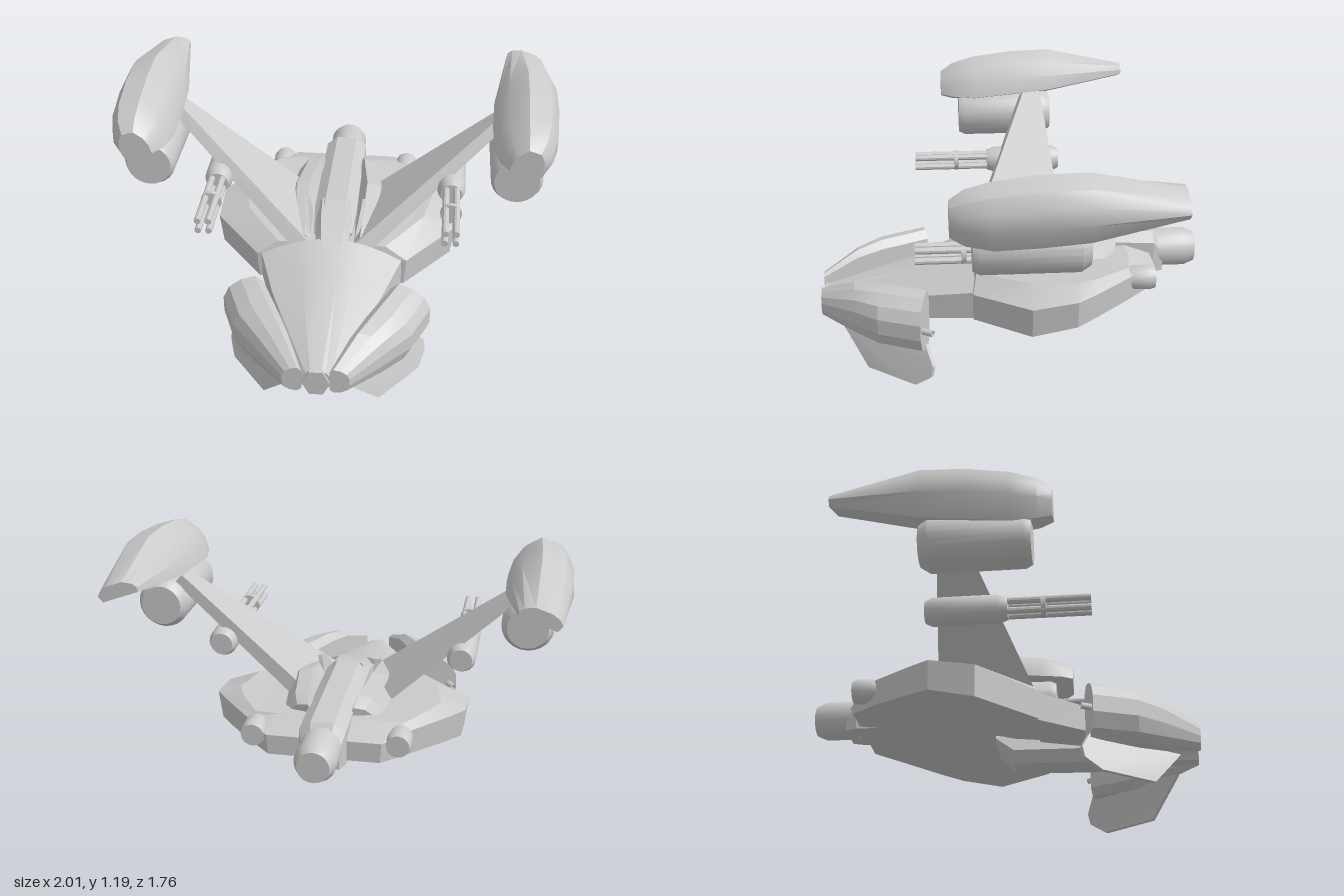
import * as THREE from 'three';
import { toCreasedNormals } from 'three/addons/utils/BufferGeometryUtils.js';

const material = new THREE.MeshStandardMaterial({ color: 0xcccccc, side: THREE.DoubleSide });

// Skin a row of equal-length rings of [x, y, z], cap both ends and face outwards
function loft(rings, crease = 0.3) {
  const n = rings[0].length, tris = [];
  for (let r = 0; r < rings.length - 1; r++)
    for (let i = 0; i < n; i++) {
      const j = (i + 1) % n, a = rings[r], b = rings[r + 1];
      tris.push([a[i], a[j], b[j]], [a[i], b[j], b[i]]);
    }
  const first = rings[0], last = rings[rings.length - 1];
  for (let i = 1; i < n - 1; i++) tris.push([first[0], first[i + 1], first[i]], [last[0], last[i], last[i + 1]]);
  let volume = 0;
  const V = (p) => new THREE.Vector3(...p);
  for (const [a, b, c] of tris) volume += V(a).dot(V(b).cross(V(c)));
  if (volume < 0) tris.forEach((t) => t.reverse());
  const g = new THREE.BufferGeometry();
  g.setAttribute('position', new THREE.Float32BufferAttribute(tris.flat(2), 3));
  return toCreasedNormals(g, crease);
}

// Full symmetric ring from its right half, listed top to bottom as [x, y]
const sym = (half, z) => [
  ...half.map(([x, y]) => [x, y, z]),
  ...half.slice().reverse().map(([x, y]) => [-x, y, z]),
];
const flip = (rings, s) => rings.map((r) => r.map(([x, y, z]) => [x * s, y, z]));

export function createModel() {
  const root = new THREE.Group();
  const add = (name, geometry, parent = root) => {
    const m = new THREE.Mesh(geometry, material);
    m.name = name;
    parent.add(m);
    return m;
  };
  // Round body along z from [radius, z] points
  const round = (name, x, y, pts, parent, sides = 20) => {
    const p = [[0, pts[0][1]], ...pts, [0, pts[pts.length - 1][1]]].map(([r, z]) => new THREE.Vector2(r, z));
    const g = new THREE.LatheGeometry(p, sides);
    g.rotateX(Math.PI / 2);
    g.translate(x, y, 0);
    return add(name, toCreasedNormals(g, 0.6), parent);
  };

  // Saucer hull: bottom edge, top edge and raised deck; rows are x, z, bottom y, top y
  const plan = [[0.35, 0.18, 0.28, 0.41], [0.57, -0.07, 0.3, 0.44], [0.57, -0.27, 0.34, 0.47],
    [0.505, -0.36, 0.35, 0.475], [0.37, -0.53, 0.37, 0.485], [0.25, -0.66, 0.38, 0.47]];
  const deck = [[0.25, 0.16, 0.47], [0.42, -0.07, 0.495], [0.46, -0.27, 0.505],
    [0.43, -0.36, 0.51], [0.33, -0.52, 0.51], [0.22, -0.54, 0.515]];
  const mirror = (h) => [...h, ...h.slice().reverse().map(([x, y, z]) => [-x, y, z])];
  add('saucerHull', loft([
    mirror(plan.map(([x, z, b]) => [x * 0.97, b, z])),
    mirror(plan.map(([x, z, , t]) => [x, t, z])),
    mirror(deck.map(([x, z, y]) => [x, y, z])),
  ]));

  // Tapering nose with a keel beneath
  add('nose', loft([
    sym([[0.05, 0.5], [0.15, 0.48], [0.33, 0.41], [0.33, 0.28], [0.12, 0.27]], 0.17),
    sym([[0.045, 0.42], [0.11, 0.41], [0.25, 0.36], [0.25, 0.245], [0.1, 0.235]], 0.4),
    sym([[0.025, 0.3], [0.045, 0.29], [0.065, 0.27], [0.065, 0.23], [0.04, 0.2]], 0.86),
  ]));
  add('keel', loft([
    sym([[0.09, 0.32], [0.11, 0.29], [0.09, 0.27]], -0.03),
    sym([[0.09, 0.32], [0.11, 0.23], [0.07, 0.18]], 0.05),
    sym([[0.07, 0.32], [0.1, 0.23], [0.06, 0.18]], 0.4),
    sym([[0.03, 0.3], [0.06, 0.24], [0.03, 0.18]], 0.87),
  ]));

  // Spine, canopy and tail engine
  add('spine', loft([
    sym([[0.045, 0.5], [0.08, 0.46], [0.08, 0.37]], -0.73),
    sym([[0.05, 0.56], [0.1, 0.52], [0.1, 0.37]], -0.68),
    sym([[0.05, 0.565], [0.1, 0.53], [0.1, 0.37]], -0.5),
    sym([[0.05, 0.575], [0.1, 0.53], [0.1, 0.36]], -0.05),
    sym([[0.05, 0.52], [0.09, 0.49], [0.09, 0.35]], 0.1),
  ]));
  add('canopy', loft([
    sym([[0.065, 0.572], [0.085, 0.54], [0.09, 0.46]], -0.07),
    sym([[0.06, 0.55], [0.085, 0.51], [0.085, 0.44]], 0.06),
    sym([[0.045, 0.49], [0.07, 0.46], [0.075, 0.42]], 0.2),
    sym([[0.025, 0.43], [0.04, 0.42], [0.045, 0.39]], 0.3),
  ]));
  round('tailEngine', 0, 0.455, [[0.07, -0.885], [0.09, -0.84], [0.09, -0.68]]);

  for (const s of [1, -1]) {
    const side = new THREE.Group();
    side.name = s > 0 ? 'leftSide' : 'rightSide';
    root.add(side);
    const part = (name, rings, crease) => add(name, loft(flip(rings, s), crease), side);

    // Shoulder fairing and upright fin beside the canopy
    part('shoulderFairing', [
      [[0.08, 0.5, -0.5], [0.1, 0.55, -0.5], [0.15, 0.54, -0.49], [0.19, 0.5, -0.47]],
      [[0.08, 0.5, -0.43], [0.11, 0.58, -0.43], [0.17, 0.57, -0.43], [0.22, 0.5, -0.43]],
      [[0.08, 0.48, -0.2], [0.14, 0.59, -0.2], [0.2, 0.58, -0.2], [0.25, 0.49, -0.2]],
      [[0.08, 0.45, 0.14], [0.13, 0.5, 0.14], [0.18, 0.49, 0.14], [0.23, 0.45, 0.14]],
    ]);
    const fin = [[0.43, 0.16], [0.59, 0.0], [0.59, -0.05], [0.45, -0.08]];
    part('canopyFin', [0, 0.018].map((t) => fin.map(([y, z]) => [0.095 + t + (y - 0.43) * 0.2, y, z])));

    // Raised wing
    const wing = (x, y, front, back, t) => [[x - 0.66 * t, y + 0.75 * t, front - 0.02], [x + 0.66 * t, y - 0.75 * t, front],
      [x + 0.66 * t, y - 0.75 * t, back], [x - 0.66 * t, y + 0.75 * t, back]];
    part('wing', [wing(0.12, 0.44, 0.19, -0.285, 0.035), wing(0.75, 0.99, -0.11, -0.215, 0.024)]);

    // Wing-tip nacelle: canted loaf section scaled along z [z, width, height, lift]
    const loaf = [[-0.125, 0], [-0.13, 0.08], [-0.11, 0.16], [-0.05, 0.24], [0.055, 0.245],
      [0.11, 0.195], [0.138, 0.12], [0.122, 0]];
    const stations = [[0.29, 0.5, 0.5, 0.025], [0.23, 0.78, 0.73, 0.01], [0.12, 0.96, 0.9, 0],
      [-0.07, 1.02, 0.93, 0.017], [-0.26, 1, 0.88, 0.035], [-0.64, 0.68, 0.25, 0.11]];
    part('nacelle', stations.map(([z, w, h, lift]) => loaf.map(([u, v]) => {
      const a = u * w, b = v * h + lift;
      return [0.825 + 0.94 * a + 0.34 * b, 0.945 - 0.34 * a + 0.94 * b, z];
    })), 0.6);
    round('enginePod', s * 0.82, 0.875, [[0.09, -0.27], [0.115, -0.23], [0.115, 0.17], [0.1, 0.2]], side, 24);

    // Four-barrelled gun under the wing
    const gx = s * 0.54, gy = 0.715;
    round('gunBody', gx, gy, [[0.05, -0.29], [0.064, -0.26], [0.064, 0.03], [0.05, 0.07]], side);
    for (const [dx, dy] of [[1, 1], [1, -1], [-1, 1], [-1, -1]])
      round('gunBarrel', gx + dx * 0.024, gy + dy * 0.024, [[0.015, 0], [0.015, 0.43]], side, 10);
    round('barrelClamp', gx, gy, [[0.048, 0.215], [0.048, 0.235]], side, 16);

    // Small rear thruster
    round('rearThruster', s * 0.315, 0.455, [[0.05, -0.645], [0.057, -0.62], [0.055, -0.55], [0.035, -0.49]], side);

    // Half-barrel cowl beside the nose: [z, inner x, outer x, bottom y, top y, rear skew]
    const cowl = [[0.38, 0.29, 0.47, 0.15, 0.43, 0.04], [0.6, 0.19, 0.395, 0.155, 0.425, 0.01],
      [0.72, 0.135, 0.3, 0.17, 0.405, 0], [0.88, 0.06, 0.145, 0.205, 0.33, 0]];
    const oval = [[0, 0.12], [0, 0.88], [0.2, 1], [0.55, 0.95], [0.85, 0.82], [1, 0.62],
      [1, 0.35], [0.85, 0.12], [0.55, 0.02], [0.2, 0]];
    part('noseCowl', cowl.map(([z, x0, x1, y0, y1, k]) =>
      oval.map(([u, v]) => [x0 + (x1 - x0) * u, y0 + (y1 - y0) * v, z + k * u])), 0.25);
    const rod = new THREE.LineCurve3(new THREE.Vector3(s * 0.41, 0.28, 0.45), new THREE.Vector3(s * 0.46, 0.28, 0.365));
    add('cowlRod', new THREE.TubeGeometry(rod, 1, 0.015, 8), side);

    // Thin landing fin under the cowl
    const foot = [[0.13, 0.17, 0.79], [0.26, 0, 0.67], [0.43, 0, 0.45], [0.455, 0.05, 0.38],
      [0.45, 0.1, 0.37], [0.39, 0.18, 0.4]];
    part('landingFin', [0, 1].map((t) => foot.map(([x, y, z]) => [x - 0.016 * t, y, z - 0.012 * t])));
  }
  return root;
}
